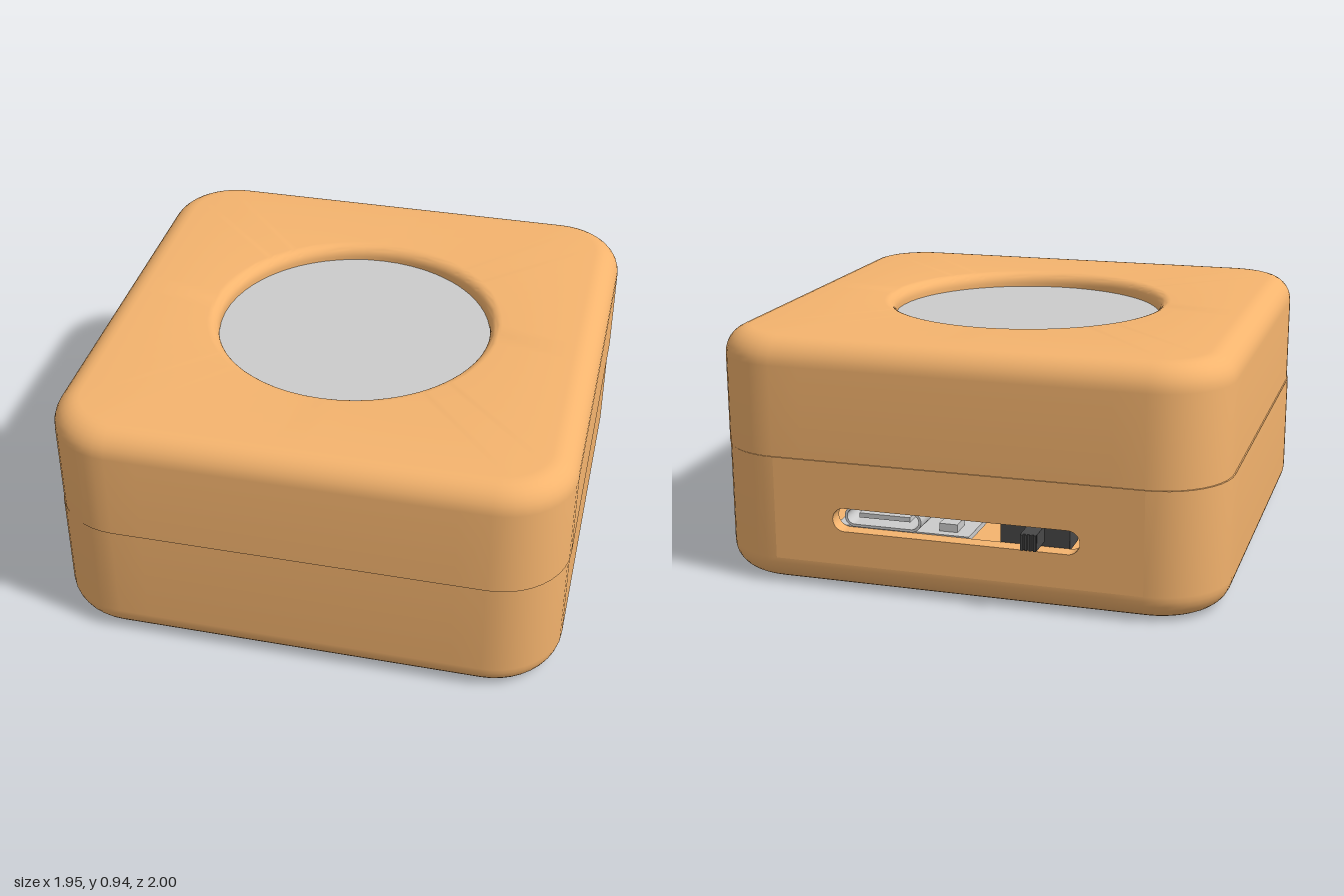
import * as THREE from 'three';
import { toCreasedNormals } from 'three/addons/utils/BufferGeometryUtils.js';

const H = 0.9725, R = 0.27, WALL = 0.06, SEAM = 0.495, TOP = 0.94, FILLET = 0.1;
const ARC = 10, SIDE = 12, PER = ARC + SIDE;

const mat = (color) => new THREE.MeshStandardMaterial({ color });
const casing = mat(0xf5b46e), grey = mat(0xcccccc), dark = mat(0x484848);

function add(parent, name, geometry, material, x = 0, y = 0, z = 0) {
  const mesh = new THREE.Mesh(geometry, material);
  mesh.name = name;
  mesh.position.set(x, y, z);
  parent.add(mesh);
  return mesh;
}

// Rounded-square outline, inset from the outer wall; [x, z] points
function outline(inset) {
  const r = R - inset, c = H - R, pts = [];
  for (let k = 0; k < 4; k++) {
    const a0 = k * Math.PI / 2;
    const sx = k === 0 || k === 3 ? c : -c, sz = k < 2 ? c : -c;
    for (let i = 0; i <= ARC; i++) {
      const a = a0 + (i / ARC) * Math.PI / 2;
      pts.push([sx + r * Math.cos(a), sz + r * Math.sin(a)]);
    }
    // straight side leading to the next corner
    const [x, z] = pts[pts.length - 1], a1 = a0 + Math.PI / 2;
    for (let i = 1; i < SIDE; i++) {
      const d = (2 * c * i) / SIDE;
      pts.push([x - Math.sin(a1) * d, z + Math.cos(a1) * d]);
    }
  }
  return pts;
}

// A profile row is {inset, y} for a rounded square or {circle, y} for a circle
function ring(row) {
  if (row.circle === undefined) return outline(row.inset);
  return outline(0).map(([x, z]) => {
    const l = Math.hypot(x, z);
    return [(x / l) * row.circle, (z / l) * row.circle];
  });
}

// Skin the profile rows; rows marked open leave out the flat back side
function loft(rows) {
  const n = PER * 4, pos = [], index = [];
  rows.forEach((row) => ring(row).forEach(([x, z]) => pos.push(x, row.y, z)));
  for (let j = 0; j < rows.length - 1; j++) {
    for (let i = 0; i < n; i++) {
      if (rows[j].open && i >= 2 * PER + ARC && i < 3 * PER) continue;
      const a = j * n + i, b = j * n + ((i + 1) % n);
      index.push(a, a + n, b, b, a + n, b + n);
    }
  }
  const g = new THREE.BufferGeometry();
  g.setAttribute('position', new THREE.Float32BufferAttribute(pos, 3));
  g.setIndex(index);
  return toCreasedNormals(g, 0.5);
}

function stadium(path, halfLength, r, y = 0) {
  path.absarc(halfLength, y, r, -Math.PI / 2, Math.PI / 2, false);
  path.absarc(-halfLength, y, r, Math.PI / 2, 1.5 * Math.PI, false);
  path.closePath();
  return path;
}

const extrude = (shape, depth) =>
  new THREE.ExtrudeGeometry(shape, { depth, bevelEnabled: false, curveSegments: 16 });

const quarter = (fn, steps = 8) =>
  Array.from({ length: steps + 1 }, (_, i) => fn((i / steps) * Math.PI / 2));

export function createModel() {
  const model = new THREE.Group();
  model.name = 'deviceCase';

  // Upper shell with a rounded circular opening
  const hole = 0.535, lip = 0.045;
  const upper = add(model, 'upperShell', loft([
    { inset: 0, y: SEAM },
    ...quarter((a) => ({ inset: FILLET * (1 - Math.cos(a)), y: TOP - FILLET * (1 - Math.sin(a)) })),
    ...quarter((a) => ({ circle: hole + lip * (1 - Math.sin(a)), y: TOP - lip * (1 - Math.cos(a)) })),
    { circle: hole, y: TOP - WALL },
    { inset: WALL, y: TOP - WALL },
    { inset: WALL, y: SEAM },
    { inset: 0, y: SEAM },
  ]), casing, 0.0025, 0, 0.0225);
  upper.material.side = THREE.DoubleSide;

  // Disc filling the opening, just below the rim
  add(model, 'topDisc', new THREE.CylinderGeometry(0.56, 0.56, 0.03, 64), grey, 0, 0.864, 0.02);

  // Lower shell, slightly offset from the upper one
  const lower = new THREE.Group();
  lower.name = 'lowerCase';
  lower.position.set(-0.0025, 0, 0.0175);
  model.add(lower);
  const base = quarter((a) => ({ inset: FILLET * (1 - Math.sin(a)), y: FILLET * (1 - Math.cos(a)) }));
  base[base.length - 1].open = true;
  add(lower, 'lowerShell', loft([
    { circle: 0, y: 0 },
    ...base,
    { inset: 0, y: SEAM },
    { inset: WALL, y: SEAM, open: true },
    { inset: WALL, y: FILLET },
    { inset: WALL, y: WALL },
    { circle: 0, y: WALL },
  ]), casing);

  // Flat back wall with the slot
  const w = H - R, slotY = 0.275;
  const wall = new THREE.Shape([[-w, FILLET], [w, FILLET], [w, SEAM], [-w, SEAM]]
    .map(([x, y]) => new THREE.Vector2(x, y)));
  wall.holes.push(stadium(new THREE.Path(), 0.425, 0.045, slotY));
  add(lower, 'backWall', extrude(wall, WALL), casing, 0, 0, -H);

  // Circuit board and charging port behind the slot
  add(model, 'circuitBoard', new THREE.BoxGeometry(0.52, 0.02, 0.5), grey, 0.22, 0.225, -0.645);
  const port = stadium(new THREE.Shape(), 0.11, 0.04);
  port.holes.push(stadium(new THREE.Path(), 0.11, 0.03));
  add(model, 'chargingPort', extrude(port, 0.2), grey, 0.29, slotY, -0.905);
  add(model, 'portTongue', new THREE.BoxGeometry(0.2, 0.018, 0.17), grey, 0.29, slotY, -0.8);
  add(model, 'boardChip', new THREE.BoxGeometry(0.07, 0.03, 0.08), grey, 0.05, 0.25, -0.82);

  // Slide switch with a ribbed knob
  add(model, 'switchBody', new THREE.BoxGeometry(0.26, 0.1, 0.12), dark, -0.29, slotY - 0.005, -0.83);
  add(model, 'switchKnob', new THREE.BoxGeometry(0.06, 0.06, 0.1), dark, -0.295, slotY, -0.94);
  for (let i = 0; i < 4; i++) {
    add(model, 'knobRib', new THREE.BoxGeometry(0.008, 0.06, 0.01), dark, -0.319 + i * 0.016, slotY, -0.995);
  }
  return model;
}
